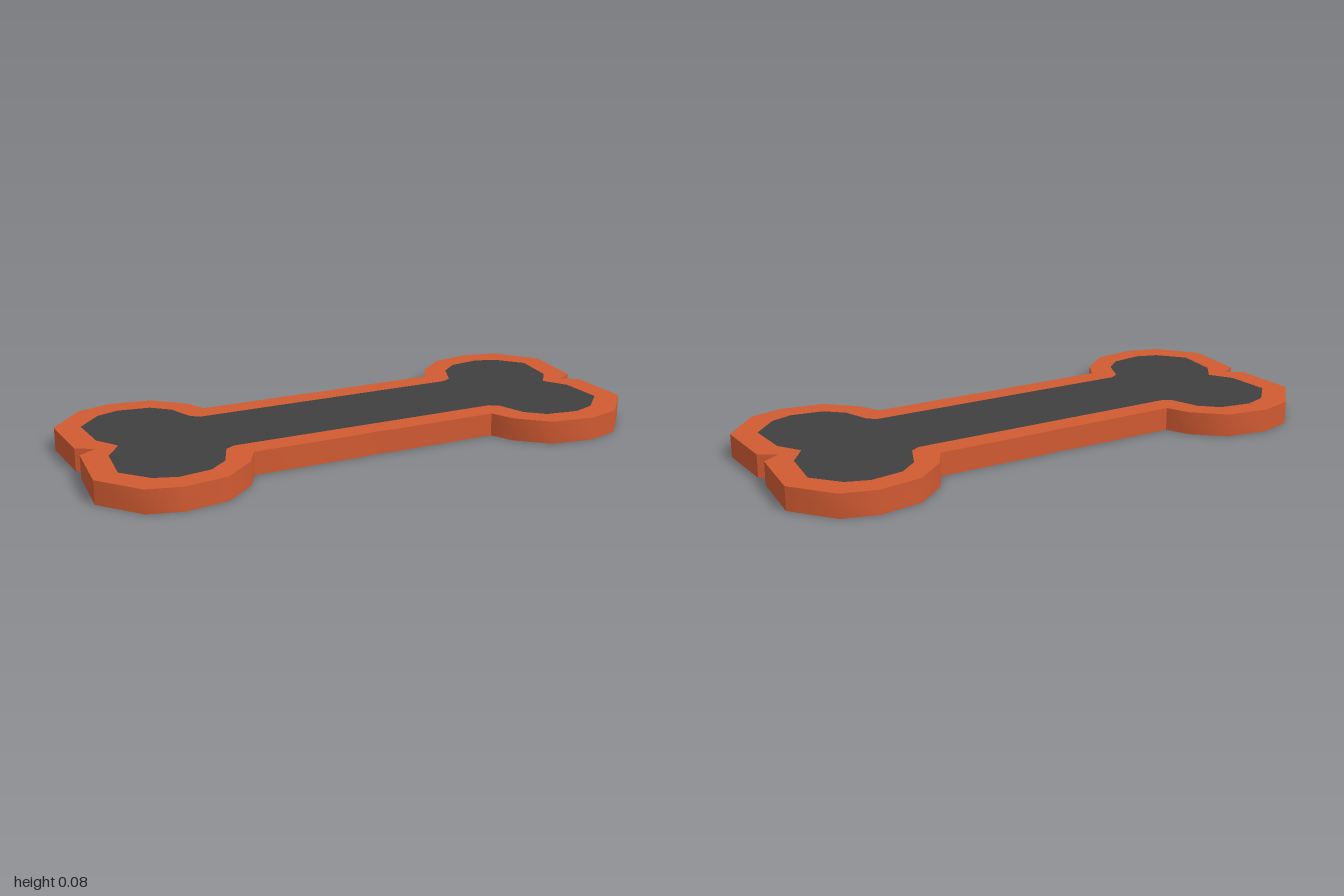
import * as THREE from 'three';
import { toCreasedNormals } from 'three/addons/utils/BufferGeometryUtils.js';

const HEIGHT = 0.083;

// One quarter of each outline, from the end notch round the knob to the middle of the shaft
const OUTER = [[0.925, 0], [0.985, 0.037], [1, 0.27], [0.88, 0.41], [0.76, 0.443],
  [0.607, 0.42], [0.5, 0.33], [0.457, 0.25], [0.08, 0.25], [0, 0.246]];
const INNER = [[0.845, 0], [0.9, 0.08], [0.913, 0.24], [0.83, 0.33], [0.75, 0.357],
  [0.635, 0.34], [0.57, 0.285], [0.53, 0.185], [0.497, 0.165], [0, 0.165]];

// Mirrors a quarter outline in both axes into a closed ring
function ring(quarter) {
  const half = [...quarter, ...quarter.slice(0, -1).reverse().map(([x, y]) => [-x, y])];
  const full = [...half, ...half.slice(1, -1).reverse().map(([x, y]) => [x, -y])];
  return full.map(([x, y]) => new THREE.Vector2(x, y));
}

// Extrudes a flat shape upward from the ground
function slab(name, shape, color) {
  const extruded = new THREE.ExtrudeGeometry(shape, { depth: HEIGHT, bevelEnabled: false });
  extruded.rotateX(-Math.PI / 2);
  const geometry = toCreasedNormals(extruded, THREE.MathUtils.degToRad(40));
  const mesh = new THREE.Mesh(geometry, new THREE.MeshStandardMaterial({ color }));
  mesh.name = name;
  return mesh;
}

export function createModel() {
  const group = new THREE.Group();
  group.name = 'bone';

  // Orange border with a bone-shaped opening
  const border = new THREE.Shape(ring(OUTER));
  border.holes.push(new THREE.Path(ring(INNER)));
  group.add(slab('border', border, 0xd05a32));

  // Dark panel filling the opening flush on both faces
  group.add(slab('panel', new THREE.Shape(ring(INNER)), 0x404040));

  return group;
}
